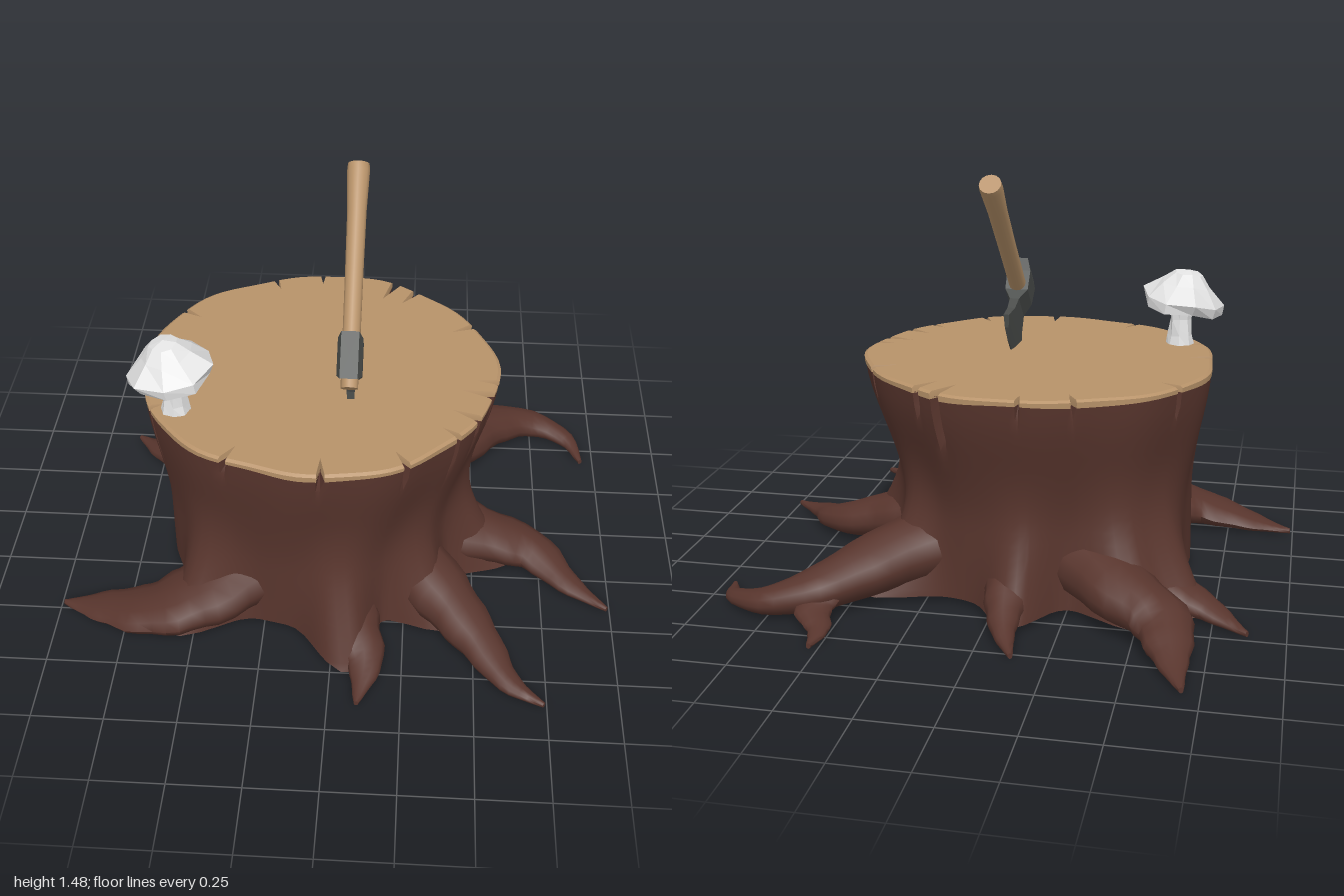
import * as THREE from 'three';
import { toCreasedNormals } from 'three/addons/utils/BufferGeometryUtils.js';

const mat = (name, color, extra = {}) => Object.assign(new THREE.MeshStandardMaterial({ color, ...extra }), { name });
const V = (x, y, z) => new THREE.Vector3(x, y, z);

// Skin a list of equal-length rings and close both ends with fans.
function loft(rings, crease) {
  const n = rings[0].length, pos = [], idx = [];
  rings.forEach(r => r.forEach(p => pos.push(p.x, p.y, p.z)));
  for (let i = 0; i < rings.length - 1; i++) for (let j = 0; j < n; j++) {
    const k = (j + 1) % n, a = i * n + j, b = i * n + k, c = a + n, d = b + n;
    idx.push(a, c, b, b, c, d);
  }
  [0, rings.length - 1].forEach((i, end) => {
    const c = rings[i].reduce((s, p) => s.add(p), V(0, 0, 0)).divideScalar(n);
    const ci = pos.length / 3;
    pos.push(c.x, c.y, c.z);
    for (let j = 0; j < n; j++) {
      const a = i * n + j, b = i * n + (j + 1) % n;
      idx.push(ci, end ? b : a, end ? a : b);
    }
  });
  const g = new THREE.BufferGeometry();
  g.setAttribute('position', new THREE.Float32BufferAttribute(pos, 3));
  g.setIndex(idx);
  return toCreasedNormals(g, crease);
}

const CX = -0.075, CZ = 0.035, RAD = Math.PI / 180;

// Each root runs along ground points [x, z]; w and h are its first half width and top height,
// and a larger fullness keeps it thick for longer.
const root = (w, h, fullness, ...path) => ({ w, h, fullness, path });
const ROOTS = [
  root(0.14, 0.32, 1.4, [-0.25, -0.25], [-0.44, -0.45], [-0.59, -0.57], [-0.63, -0.69], [-0.655, -0.79], [-0.69, -0.9]),
  root(0.14, 0.32, 1.4, [-0.35, -0.18], [-0.56, -0.29], [-0.72, -0.35], [-0.87, -0.47]),
  root(0.1, 0.3, 1.1, [-0.06, -0.25], [-0.06, -0.5], [-0.08, -0.65], [-0.13, -0.78]),
  root(0.16, 0.33, 0.85, [0.2, -0.2], [0.43, -0.4], [0.6, -0.56], [0.76, -0.61], [0.9, -0.54], [0.95, -0.42]),
  root(0.14, 0.32, 1.3, [0.25, 0.08], [0.5, 0.12], [0.72, 0.16], [0.85, 0.29], [0.99, 0.4]),
  root(0.13, 0.32, 1.2, [0.2, 0.25], [0.39, 0.46], [0.52, 0.63], [0.62, 0.78], [0.74, 0.86]),
  root(0.14, 0.33, 1.4, [0, 0.3], [0.05, 0.56], [0.12, 0.72], [0.1, 0.89]),
  root(0.15, 0.33, 2.2, [-0.25, 0.35], [-0.46, 0.49], [-0.64, 0.54], [-0.83, 0.51], [-0.99, 0.48]),
];
const FORK = root(0.08, 0.16, 1.2, [0.56, -0.5], [0.58, -0.64], [0.53, -0.74], [0.53, -0.84]);
const FLARES = ROOTS.map(({ w, path: [, [x, z]] }) => ({ a: Math.atan2(z - CZ, x - CX), reach: w * 1.75 }));

// Cracks: [angle in degrees, depth, length down the side]
const CRACKS = [
  [5, 0.07, 0.1], [12, 0.1, 0.1], [25, 0.09, 0.15], [36, 0.06, 0.2], [58, 0.07, 0.1],
  [86, 0.08, 0.08], [119, 0.07, 0.08], [155, 0.05, 0.27], [173, 0.08, 0.1], [211, 0.07, 0.12],
  [249, 0.06, 0.08], [267, 0.05, 0.08], [295, 0.11, 0.25], [304, 0.09, 0.12], [333, 0.08, 0.12],
].map(([deg, depth, length]) => ({ a: deg * RAD, w: depth * 0.3, depth, length }));

// Angles around the trunk, with three exact stops at each crack
const ANGLES = Array.from({ length: 96 }, (_, i) => i * Math.PI / 48)
  .filter(t => CRACKS.every(c => Math.abs(t - c.a) > c.w * 1.3)).map(t => ({ t }));
CRACKS.forEach(c => ANGLES.push({ t: c.a - c.w }, { t: c.a, crack: c }, { t: c.a + c.w }));
ANGLES.sort((p, q) => p.t - q.t);

// The trunk widens to the cut, leans a little and swells into every root
function trunkRing(y, scale = 1, wobble = 0) {
  const upper = THREE.MathUtils.smoothstep(y, 0.3, 0.82);
  const flare = Math.pow(Math.max(0, (0.58 - y) / 0.58), 2.1);
  return ANGLES.map(({ t, crack }) => {
    const c = Math.cos(t), s = Math.sin(t);
    let r = Math.hypot(0.627 * c, 0.588 * s) * (0.85 + 0.15 * upper);
    r += 0.008 * Math.sin(5 * t + 1 + y) + 0.005 * Math.sin(11 * t + 3 * y);
    for (const { a, reach } of FLARES) {
      const d = Math.atan2(Math.sin(t - a), Math.cos(t - a));
      r += reach * flare * Math.exp(-((d / 0.19) ** 2));
    }
    r *= scale;
    if (crack) r -= crack.depth * THREE.MathUtils.clamp((y - 0.8 + crack.length) / crack.length, 0, 1) ** 1.4;
    return V(CX - 0.025 * (1 - upper) + r * c, y + wobble * Math.sin(7 * t), CZ + 0.02 * (1 - upper) + r * s);
  });
}

// Oval rings resting on the ground, shrinking to a tip; the inner end stays inside the trunk
function rootGeometry({ w, h, fullness, path }) {
  const curve = new THREE.CatmullRomCurve3(path.map(([x, z]) => V(x, 0, z)));
  const rings = [], up = V(0, 1, 0), N = 20;
  for (let i = 0; i <= N; i++) {
    const t = i / N, p = curve.getPoint(t);
    const side = up.clone().cross(curve.getTangent(t)).normalize();
    const width = 0.008 + w * (1 - t ** fullness) * (1 + 0.06 * Math.sin(i * 1.7));
    const half = (0.02 + (h - 0.08) * (1 - t) ** 1.35) / 2, base = 0.01 + 0.05 * (1 - t) ** 3;
    rings.push(Array.from({ length: 12 }, (_, j) => {
      const a = j * Math.PI / 6;
      return p.clone().addScaledVector(side, Math.sin(a) * width).setY(base + half + Math.cos(a) * half);
    }));
  }
  return loft(rings, 1.0);
}

const lathe = (points, sides) => new THREE.LatheGeometry(points.map(p => new THREE.Vector2(...p)), sides);

// Faceted lathe with uneven rims
function facetedLathe(points, sides, jitter) {
  const g = lathe(points, sides), pos = g.attributes.position;
  for (let i = 0; i < pos.count; i++) {
    const x = pos.getX(i), y = pos.getY(i), z = pos.getZ(i), a = Math.atan2(z, x);
    const k = 1 + jitter * Math.sin(3 * a + y * 40);
    const lift = jitter * 0.15 * Math.sin(3 * a + 1) * Math.min(1, Math.hypot(x, z) * 8);
    pos.setXYZ(i, x * k, y + lift, z * k);
  }
  return toCreasedNormals(g, 0.05);
}

export function createModel() {
  const bark = mat('bark brown', 0x58352d), wood = mat('cut wood tan', 0xb79269);
  const steel = mat('dark steel', 0x4b4e4c), pale = mat('pale mushroom', 0xe2e2e2, { side: THREE.DoubleSide });
  const model = new THREE.Group();
  model.name = 'stumpWithAxe';
  const add = (parent, name, geo, m) => {
    const mesh = new THREE.Mesh(geo, m);
    mesh.name = name;
    parent.add(mesh);
    return mesh;
  };

  // Trunk and its cut top
  const trunkRings = Array.from({ length: 19 }, (_, i) => trunkRing(0.03 + 0.755 * (i / 18) ** 1.2));
  add(model, 'trunk', loft(trunkRings, 0.9), bark);
  add(model, 'cutTop', loft([trunkRing(0.783, 1.003, 0.003), trunkRing(0.8, 1.003), trunkRing(0.807, 0.985)], 0.4), wood);

  // Spreading roots
  const roots = new THREE.Group();
  roots.name = 'roots';
  ROOTS.forEach((r, i) => add(roots, 'root' + (i + 1), rootGeometry(r), bark));
  add(roots, 'rootFork', rootGeometry(FORK), bark);
  model.add(roots);

  // Axe: h runs up the handle, d runs from the poll to the cutting edge
  const axe = new THREE.Group();
  axe.name = 'axe';
  const h = V(0, 0.687, -0.727), d = V(0, -0.727, -0.687), poll = V(0.042, 1.06, 0.3);
  // Head stations: [along d, half height, half thickness]
  const head = [
    [0, 0.08, 0.03], [0.045, 0.064, 0.043], [0.12, 0.055, 0.042], [0.165, 0.064, 0.017],
    [0.22, 0.09, 0.014], [0.285, 0.152, 0.01], [0.315, 0.112, 0.007], [0.338, 0.05, 0.002],
  ].map(([s, u, t]) => [[-1, 1], [-1, -1], [1, -1], [1, 1]].map(([x, y]) =>
    poll.clone().addScaledVector(d, s).addScaledVector(h, y * u).add(V(x * t, 0, 0))));
  add(axe, 'axeHead', loft(head, 0.2), steel);

  // Handle, thicker toward the free end
  const handleProfile = [[0, -0.098], [0.03, -0.098], [0.031, 0.05], [0.032, 0.3], [0.034, 0.52], [0.04, 0.66], [0.038, 0.685], [0, 0.685]];
  const handle = add(axe, 'axeHandle', toCreasedNormals(lathe(handleProfile, 14), 0.7), wood);
  handle.position.copy(poll).addScaledVector(d, 0.095);
  handle.quaternion.setFromUnitVectors(V(0, 1, 0), h);
  model.add(axe);

  // Mushroom
  const mushroom = new THREE.Group();
  mushroom.name = 'mushroom';
  add(mushroom, 'mushroomStem', facetedLathe([[0.056, -0.01], [0.045, 0.04], [0.038, 0.1], [0.045, 0.19]], 8, 0.06), pale);
  const cap = add(mushroom, 'mushroomCap', facetedLathe(
    [[0, 0.01], [0.08, 0], [0.142, -0.025], [0.151, 0.012], [0.09, 0.068], [0.05, 0.108], [0, 0.12]], 9, 0.06), pale);
  cap.position.set(-0.008, 0.168, -0.01);
  cap.rotation.z = 0.16;
  mushroom.position.set(-0.553, 0.8, 0.3);
  model.add(mushroom);

  return model;
}
